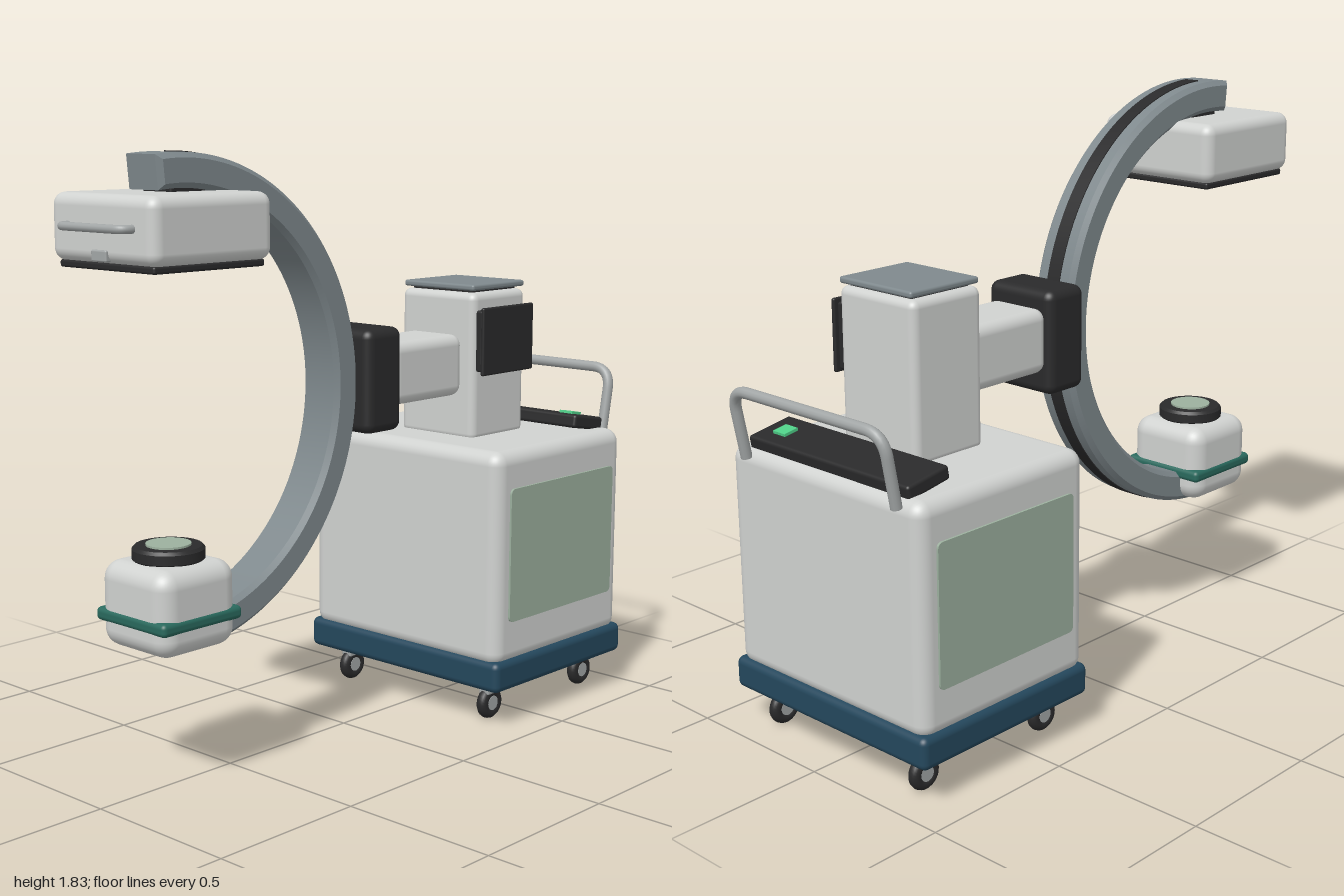
import * as THREE from 'three';
import { toCreasedNormals } from 'three/addons/utils/BufferGeometryUtils.js';
import { RoundedBoxGeometry } from 'three/addons/geometries/RoundedBoxGeometry.js';

const mat = (name, color) => Object.assign(new THREE.MeshStandardMaterial({ color }), { name });

export function createModel() {
  const shell = mat('light grey shell', 0xd0d2d0);
  const steel = mat('arm grey', 0x7f898d);
  const dark = mat('charcoal', 0x2a2a2b);
  const navy = mat('navy bumper', 0x24475c);
  const sage = mat('sage panel', 0x9cb09e);
  const teal = mat('teal band', 0x29695d);
  const green = mat('button green', 0x4fcf88);
  const metal = mat('handle metal', 0xa2a6a6);

  const model = new THREE.Group();
  model.name = 'mobileImagingArm';

  const add = (name, geometry, material, x = 0, y = 0, z = 0, parent = model) => {
    const m = new THREE.Mesh(geometry, material);
    m.name = name;
    m.position.set(x, y, z);
    parent.add(m);
    return m;
  };
  // Rounded box given by its extents on each axis
  const block = (name, material, [x0, x1], [y0, y1], [z0, z1], r, parent) =>
    add(name, new RoundedBoxGeometry(x1 - x0, y1 - y0, z1 - z0, 4, r), material,
      (x0 + x1) / 2, (y0 + y1) / 2, (z0 + z1) / 2, parent);
  // U-shaped bar: two legs from foot to top, rounded into a crossbar
  const bar = (name, material, half, foot, top, corner, radius) => {
    const dir = top.clone().sub(foot).normalize();
    const path = new THREE.CurvePath();
    const at = (x, p) => new THREE.Vector3(x, p.y, p.z);
    const below = top.clone().addScaledVector(dir, -corner);
    path.add(new THREE.LineCurve3(at(-half, foot), at(-half, below)));
    path.add(new THREE.QuadraticBezierCurve3(at(-half, below), at(-half, top), at(corner - half, top)));
    path.add(new THREE.LineCurve3(at(corner - half, top), at(half - corner, top)));
    path.add(new THREE.QuadraticBezierCurve3(at(half - corner, top), at(half, top), at(half, below)));
    path.add(new THREE.LineCurve3(at(half, below), at(half, foot)));
    add(name, new THREE.TubeGeometry(path, 80, radius, 12), material);
  };

  // Cart
  block('bumperBase', navy, [-0.41, 0.41], [0.12, 0.22], [-0.95, -0.27], 0.022);
  block('cartBody', shell, [-0.4, 0.4], [0.2, 0.895], [-0.94, -0.275], 0.045);
  for (const s of [-1, 1]) {
    const panel = new THREE.Shape();
    const w = 0.272, h = 0.216, r = 0.02;
    panel.moveTo(-w + r, -h).lineTo(w - r, -h).quadraticCurveTo(w, -h, w, -h + r)
      .lineTo(w, h - r).quadraticCurveTo(w, h, w - r, h).lineTo(-w + r, h)
      .quadraticCurveTo(-w, h, -w, h - r).lineTo(-w, -h + r).quadraticCurveTo(-w, -h, -w + r, -h);
    const plate = add('sidePanel', new THREE.ExtrudeGeometry(panel, { depth: 0.008, bevelEnabled: false }),
      sage, s * 0.399, 0.56, -0.608);
    plate.rotation.y = s * Math.PI / 2;
  }

  // Casters
  for (const x of [-0.305, 0.305]) for (const z of [-0.365, -0.855]) {
    const caster = new THREE.Group();
    caster.name = 'caster';
    caster.position.set(x, 0, z);
    model.add(caster);
    add('tyre', new THREE.TorusGeometry(0.034, 0.019, 12, 32).rotateY(Math.PI / 2), dark, 0, 0.053, 0, caster);
    add('hub', new THREE.CylinderGeometry(0.024, 0.024, 0.034, 24).rotateZ(Math.PI / 2), metal, 0, 0.053, 0, caster);
    block('fork', metal, [-0.02, 0.02], [0.084, 0.112], [-0.03, 0.03], 0.006, caster);
    add('swivel', new THREE.CylinderGeometry(0.018, 0.018, 0.03, 20), metal, 0, 0.113, 0, caster);
  }

  // Operator console and push handle
  const consoleGroup = new THREE.Group();
  consoleGroup.name = 'console';
  consoleGroup.position.set(0, 0.918, -0.838);
  consoleGroup.rotation.x = -0.17;
  model.add(consoleGroup);
  block('consoleBody', dark, [-0.335, 0.335], [-0.022, 0.022], [-0.078, 0.078], 0.01, consoleGroup);
  add('button', new THREE.BoxGeometry(0.052, 0.009, 0.05), green, 0.25, 0.026, -0.006, consoleGroup);
  bar('pushHandle', metal, 0.315, new THREE.Vector3(0, 0.87, -0.942),
    new THREE.Vector3(0, 1.085, -0.983), 0.07, 0.017);

  // Column, cap and side monitor
  block('column', shell, [-0.155, 0.155], [0.88, 1.365], [-0.715, -0.445], 0.025);
  add('columnNeck', new THREE.BoxGeometry(0.25, 0.02, 0.22), dark, 0, 1.367, -0.582);
  block('columnCap', steel, [-0.148, 0.148], [1.372, 1.392], [-0.716, -0.45], 0.008);
  block('monitorMount', dark, [0.15, 0.178], [1.11, 1.31], [-0.7, -0.46], 0.008);
  block('monitor', dark, [0.179, 0.193], [1.1, 1.32], [-0.71, -0.45], 0.006);
  add('monitorSpacer', new THREE.BoxGeometry(0.02, 0.1, 0.12), dark, 0.176, 1.21, -0.58);

  // Horizontal boom and clamp
  block('boom', shell, [-0.108, 0.108], [1.03, 1.23], [-0.455, -0.115], 0.035);
  block('clamp', dark, [-0.131, 0.131], [0.96, 1.285], [-0.132, 0.027], 0.03);

  // C-shaped arm and its outer track
  const arc = (inner, outer, a0, a1, width, bevel) => {
    const s = new THREE.Shape();
    s.absarc(0, 0, outer, a0, a1, false);
    s.absarc(0, 0, inner, a1, a0, true);
    const g = new THREE.ExtrudeGeometry(s, {
      depth: width, curveSegments: 64, bevelEnabled: bevel > 0,
      bevelSize: bevel, bevelThickness: bevel, bevelSegments: 1,
    });
    g.translate(0, 0, -width / 2).rotateY(-Math.PI / 2);
    return toCreasedNormals(g, 0.3);
  };
  const Q = Math.PI / 2;
  add('cArm', arc(0.627, 0.695, Q - 0.1, 3 * Q + 0.1, 0.12, 0.015), steel, 0, 1.12, 0.72);
  add('armTrack', arc(0.704, 0.713, Q + 0.03, 3 * Q - 0.03, 0.05, 0), dark, 0, 1.12, 0.72);

  // Upper detector
  block('detectorMount', dark, [-0.06, 0.06], [1.7, 1.745], [0.62, 0.75], 0.008);
  block('detectorBody', shell, [-0.22, 0.22], [1.533, 1.722], [0.51, 0.952], 0.035);
  block('detectorPlate', dark, [-0.2, 0.2], [1.515, 1.536], [0.53, 0.935], 0.007);
  block('detectorLatch', metal, [-0.032, 0.032], [1.54, 1.572], [0.94, 0.96], 0.005);
  bar('detectorHandle', metal, 0.135, new THREE.Vector3(0, 1.633, 0.94),
    new THREE.Vector3(0, 1.633, 0.988), 0.03, 0.012);

  // Lower source
  block('sourceBody', shell, [-0.145, 0.145], [0.425, 0.68], [0.587, 0.877], 0.055);
  block('sourceBand', teal, [-0.15, 0.15], [0.5, 0.54], [0.58, 0.882], 0.015);
  const collar = [[0, 0], [0.098, 0], [0.106, 0.008], [0.106, 0.036], [0.098, 0.045], [0.07, 0.045], [0, 0.045]];
  add('collar', toCreasedNormals(new THREE.LatheGeometry(
    collar.map(([x, y]) => new THREE.Vector2(x, y)), 40), 0.5), dark, 0, 0.675, 0.73);
  add('lens', new THREE.CylinderGeometry(0.066, 0.066, 0.008, 40), sage, 0, 0.722, 0.73);

  return model;
}
